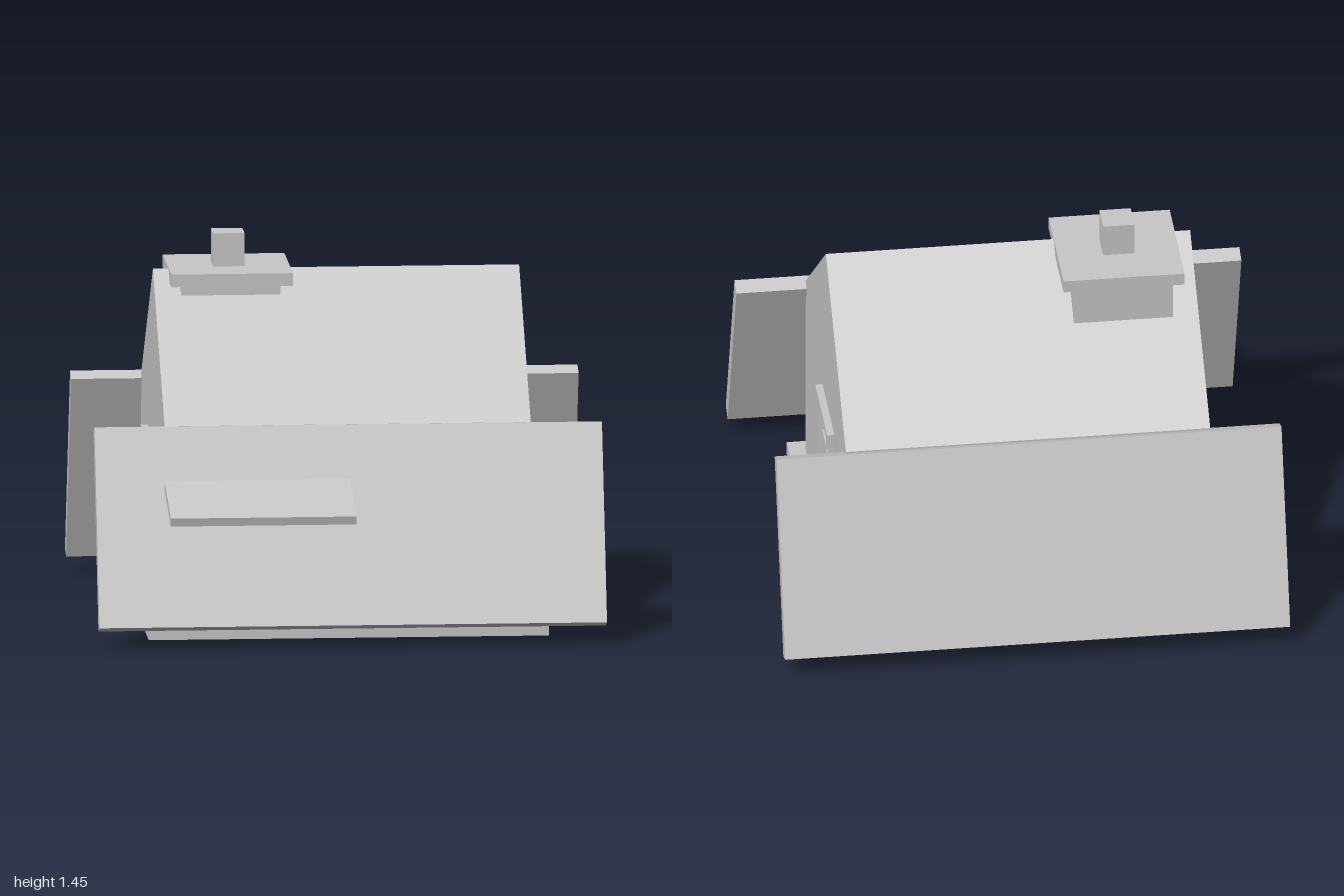
import * as THREE from 'three';

const stone = new THREE.MeshStandardMaterial({ color: 0xc8c8c8 });
stone.name = 'plain grey';

// Box given by its min and max along each axis
function box(parent, name, x0, x1, y0, y1, z0, z1) {
  const mesh = new THREE.Mesh(new THREE.BoxGeometry(x1 - x0, y1 - y0, z1 - z0), stone);
  mesh.position.set((x0 + x1) / 2, (y0 + y1) / 2, (z0 + z1) / 2);
  mesh.name = name;
  parent.add(mesh);
  return mesh;
}

// Slab centred at a point and tilted about x
function slab(parent, name, size, pos, tilt) {
  const mesh = new THREE.Mesh(new THREE.BoxGeometry(...size), stone);
  mesh.position.set(...pos);
  mesh.rotation.x = tilt;
  mesh.name = name;
  parent.add(mesh);
}

// Window frame facing +z, standing on its local z = 0
function makeWindow(name, w, h, depth) {
  const g = new THREE.Group();
  g.name = name;
  const hw = w / 2;
  box(g, 'lintel', -hw - 0.025, hw + 0.025, h - 0.005, h + 0.022, -0.01, depth);
  box(g, 'sill', -hw - 0.037, hw + 0.037, -0.02, 0.003, -0.01, depth);
  for (const s of [-1, 1]) {
    const c = s * (hw - 0.012);
    box(g, 'stile', c - 0.012, c + 0.012, 0, h, -0.01, depth * 0.7);
  }
  for (const y of [0.007, h - 0.022]) {
    box(g, 'rail', -hw + 0.036, hw - 0.036, y, y + 0.015, -0.01, depth * 0.5);
  }
  box(g, 'verticalBar', -0.007, 0.007, 0, h, -0.01, 0.008);
  box(g, 'crossBar', -hw + 0.02, hw - 0.02, h / 2 - 0.007, h / 2 + 0.007, -0.01, 0.008);
  return g;
}

export function createModel() {
  const house = new THREE.Group();
  house.name = 'cottage';
  const midZ = -0.0775;

  // Footing
  box(house, 'footing', -0.765, 0.765, 0, 0.055, -0.76, 0.61);

  // Gabled body, extruded along x
  const profile = new THREE.Shape([
    [-0.6225, 0.055], [0.6225, 0.055], [0.6225, 0.815], [0, 1.32], [-0.6225, 0.815],
  ].map(([a, b]) => new THREE.Vector2(a, b)));
  const body = new THREE.Mesh(
    new THREE.ExtrudeGeometry(profile, { depth: 1.4, bevelEnabled: false }), stone);
  body.rotation.y = Math.PI / 2;
  body.position.set(-0.7, 0, midZ);
  body.name = 'gabledBody';
  house.add(body);

  // Steep panels leaning on the front and back eaves
  for (const s of [1, -1]) {
    slab(house, s > 0 ? 'frontPanel' : 'backPanel',
      [1.94, 0.78, 0.065], [0, 0.4425, midZ + s * 0.7575], -s * 0.354);
  }

  // Awning
  slab(house, 'awning', [0.71, 0.033, 0.45], [-0.353, 0.573, 0.775], 0.245);

  // Chimney
  const chimney = new THREE.Group();
  chimney.name = 'chimney';
  box(chimney, 'chimneyStack', -0.6, -0.22, 0.95, 1.275, -0.345, 0.03);
  box(chimney, 'chimneyCap', -0.64, -0.175, 1.273, 1.322, -0.39, 0.075);
  box(chimney, 'chimneyPot', -0.468, -0.348, 1.32, 1.45, -0.22, -0.1);
  house.add(chimney);

  // One window on each gable
  for (const s of [1, -1]) {
    const w = makeWindow(s > 0 ? 'leftWindow' : 'rightWindow', 0.32, 0.315, 0.028);
    w.rotation.y = s * Math.PI / 2;
    w.position.set(s * 0.7, 0.335, -0.16);
    house.add(w);
  }

  // Wide window under the awning
  const wide = makeWindow('frontWindow', 0.62, 0.39, 0.025);
  wide.position.set(-0.353, 0.215, 0.545);
  house.add(wide);

  // Front door with plank battens
  const door = new THREE.Group();
  door.name = 'door';
  box(door, 'doorPanel', 0.21, 0.53, 0.055, 0.62, 0.53, 0.558);
  box(door, 'lowerDoor', 0.23, 0.51, 0.06, 0.38, 0.53, 0.567);
  for (const y of [0.12, 0.2, 0.27]) {
    box(door, 'batten', 0.25, 0.49, y - 0.008, y + 0.008, 0.54, 0.577);
  }
  house.add(door);

  return house;
}
